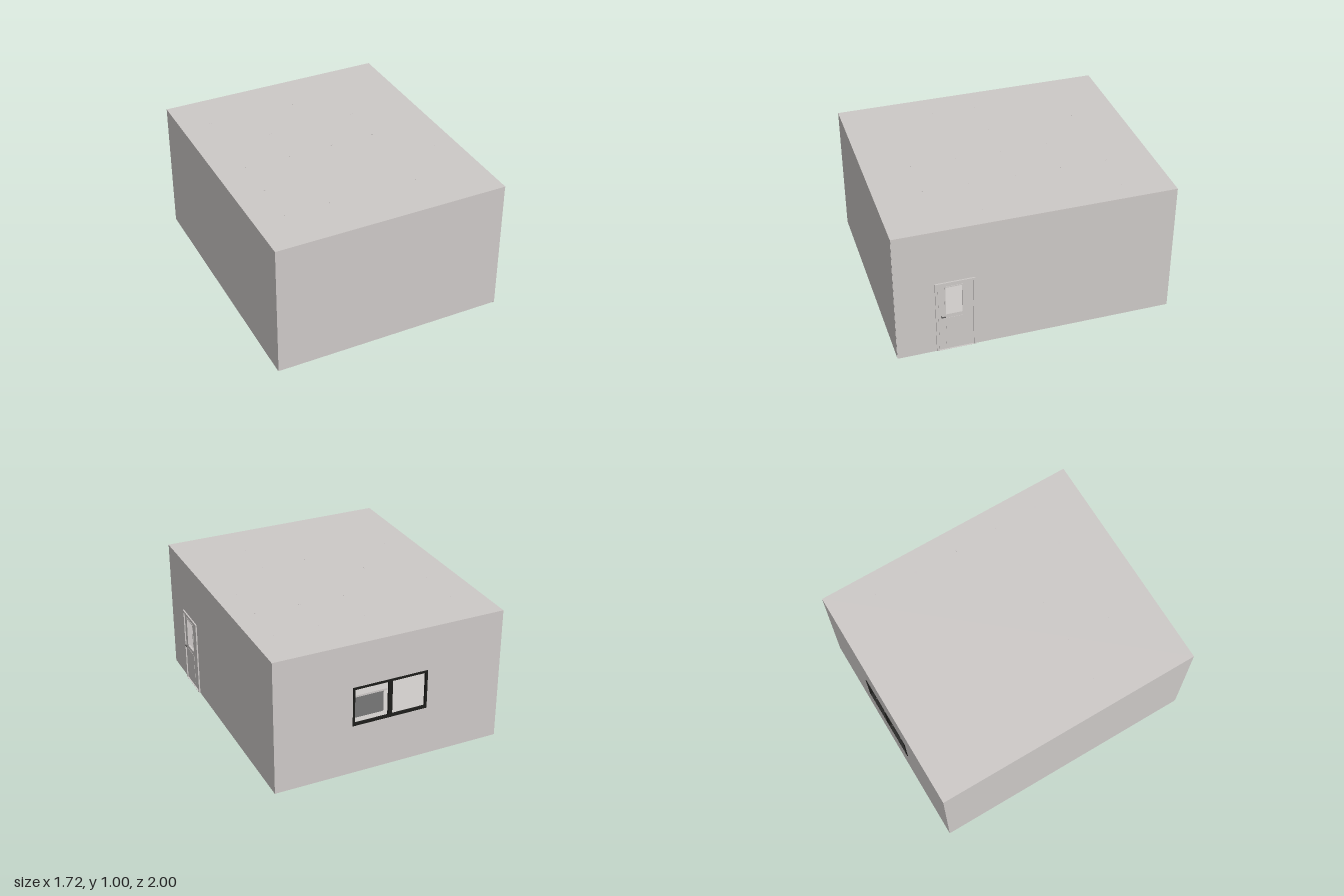
import * as THREE from 'three';

const mat = (name, color) => {
  const m = new THREE.MeshStandardMaterial({ color });
  m.name = name;
  return m;
};

export function createModel() {
  const room = new THREE.Group();
  room.name = 'room';
  const plaster = mat('warm grey plaster', 0xcdc9c7);
  const black = mat('black frame', 0x1c1c1a);
  const grey = mat('dark grey furniture', 0x777777);
  const metal = mat('handle metal', 0x5c5a59);

  // Box given by its minimum and maximum corners
  const box = (name, material, x0, x1, y0, y1, z0, z1, parent = room) => {
    const mesh = new THREE.Mesh(new THREE.BoxGeometry(x1 - x0, y1 - y0, z1 - z0), material);
    mesh.position.set((x0 + x1) / 2, (y0 + y1) / 2, (z0 + z1) / 2);
    mesh.name = name;
    parent.add(mesh);
    return mesh;
  };
  // Rectangle outline, used both for panels and for their openings
  const rect = (T, u0, u1, v0, v1) => {
    const s = new T();
    s.moveTo(u0, v0);
    s.lineTo(u1, v0);
    s.lineTo(u1, v1);
    s.lineTo(u0, v1);
    s.closePath();
    return s;
  };
  // Upright panel with an opening, drawn in (u, y) and extruded along +z
  const panel = (name, material, outer, hole, depth, parent = room) => {
    const shape = rect(THREE.Shape, ...outer);
    shape.holes.push(rect(THREE.Path, ...hole));
    const mesh = new THREE.Mesh(
      new THREE.ExtrudeGeometry(shape, { depth, bevelEnabled: false }), material);
    mesh.name = name;
    parent.add(mesh);
    return mesh;
  };
  // Turns a panel to face +x, with u = -z
  const faceLeft = (mesh, x) => {
    mesh.rotation.y = Math.PI / 2;
    mesh.position.x = x;
    return mesh;
  };

  // Shell
  box('floor', plaster, -0.85, 0.838, 0, 0.012, -0.99, 0.99);
  box('roof', plaster, -0.86, 0.84, 0.99, 1, -0.996, 1);
  box('frontWall', plaster, -0.86, 0.836, 0.012, 0.99, 0.99, 1);
  box('rightWall', plaster, -0.86, -0.85, 0.005, 0.99, -0.996, 0.99);
  const windowHole = [-0.285, 0.265, 0.385, 0.67];
  panel('backWall', plaster, [-0.85, 0.83, 0.005, 0.99], windowHole, 0.01).position.z = -0.996;
  faceLeft(panel('leftWall', plaster, [-0.998, 0.996, 0.003, 0.99],
    [-0.65, -0.53, 0.31, 0.54], 0.01), 0.83);
  // Partition above the rear edge of the entrance area
  box('ceilingBeam', plaster, -0.85, 0.83, 0.94, 0.99, 0.325, 0.335);

  // Black sliding window in the back wall
  const windowGroup = new THREE.Group();
  windowGroup.name = 'backWindow';
  room.add(windowGroup);
  panel('windowFrame', black, [-0.29, 0.27, 0.38, 0.675],
    [-0.275, 0.255, 0.397, 0.658], 0.018, windowGroup).position.z = -1;
  box('windowMullion', black, -0.025, 0.005, 0.385, 0.67, -0.999, -0.984, windowGroup);

  // Door with raised surround, glazed opening and lower panel
  const door = new THREE.Group();
  door.name = 'door';
  room.add(door);
  faceLeft(panel('doorSurround', plaster, [-0.72, -0.44, 0.006, 0.58],
    [-0.705, -0.455, 0.007, 0.565], 0.012, door), 0.838);
  faceLeft(panel('doorLeaf', plaster, [-0.7, -0.46, 0.012, 0.56],
    [-0.65, -0.53, 0.31, 0.54], 0.005, door), 0.838);
  faceLeft(panel('glazingBead', plaster, [-0.655, -0.525, 0.305, 0.545],
    [-0.648, -0.532, 0.312, 0.538], 0.003, door), 0.843);
  box('lowerPanel', plaster, 0.843, 0.845, 0.045, 0.28, 0.53, 0.65, door);
  const stem = new THREE.Mesh(new THREE.CylinderGeometry(0.004, 0.004, 0.015, 10), metal);
  stem.name = 'handleStem';
  stem.rotation.z = Math.PI / 2;
  stem.position.set(0.85, 0.298, 0.68);
  door.add(stem);
  box('handleLever', metal, 0.854, 0.86, 0.295, 0.301, 0.655, 0.684, door);

  // Furniture seen through the openings
  box('wallCabinet', grey, -0.85, -0.8, 0.455, 0.62, 0.4, 0.95);
  box('deskTop', plaster, -0.3, 0.5, 0.205, 0.22, -0.42, -0.22);
  box('deskFront', grey, -0.28, 0.48, 0.02, 0.205, -0.4, -0.39);
  for (const x of [-0.28, 0.47]) box('deskSide', grey, x, x + 0.01, 0.012, 0.205, -0.39, -0.24);
  for (let i = 0; i < 12; i++) {
    const z = -0.4 + i * 0.045;
    box('radiatorFin', plaster, 0.8, 0.83, 0.04, 0.2, z, z + 0.025);
  }

  // Small ceiling fixing crosses that just reach the roof surface
  for (const x of [-0.64, -0.31, 0.02, 0.35, 0.68]) {
    for (const z of [-0.66, -0.33, 0, 0.33, 0.66]) {
      box('ceilingFixing', plaster, x - 0.012, x + 0.012, 0.985, 1.0003, z - 0.001, z + 0.001);
      box('ceilingFixing', plaster, x - 0.001, x + 0.001, 0.985, 1.0003, z - 0.01, z + 0.01);
    }
  }
  return room;
}
